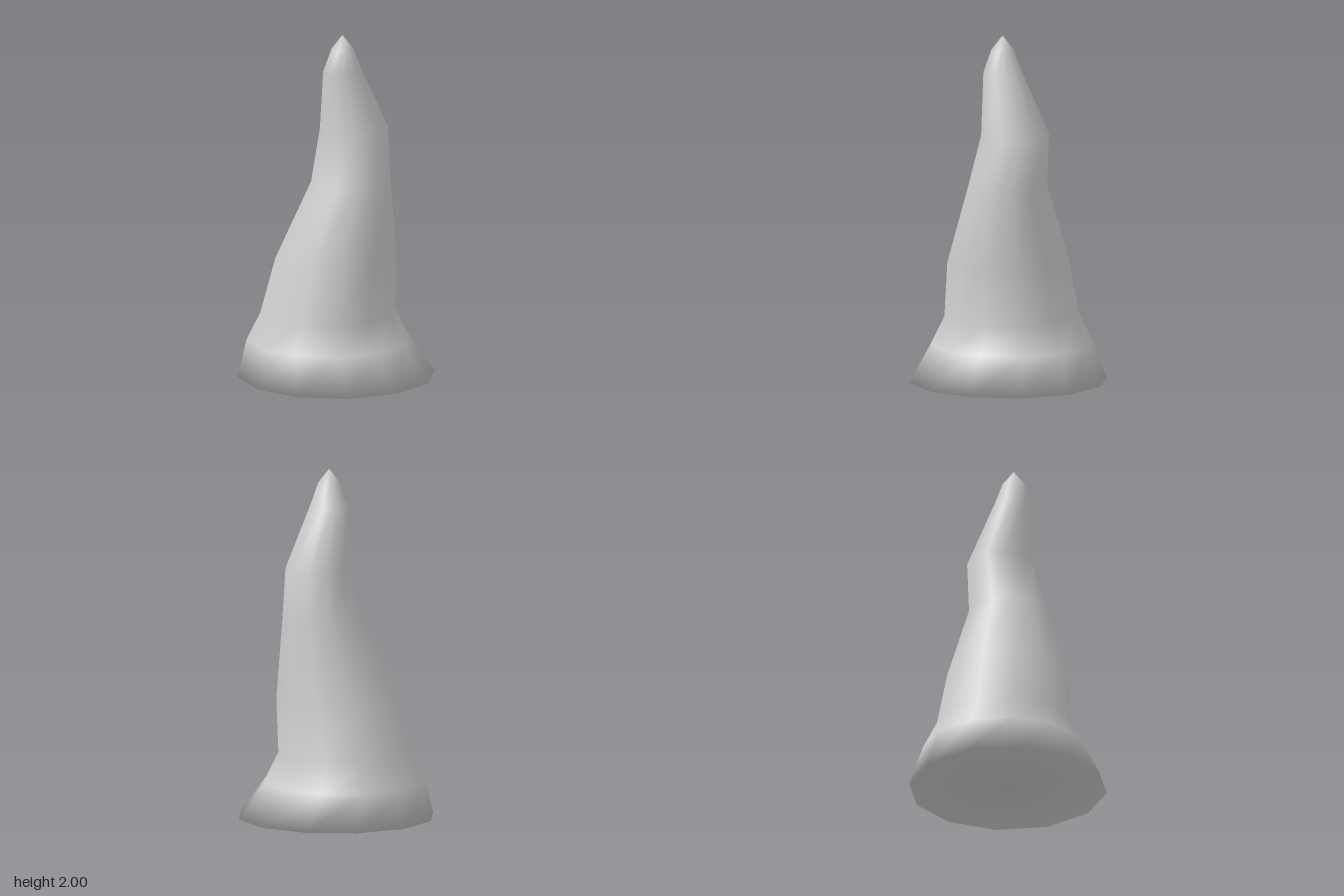
import * as THREE from 'three';

const SIDES = 12;

// Cross-sections from base to tip: [height, centre x, centre z, radius]
const RINGS = [
  [0, 0, 0, 0.565],
  [0.21, -0.045, 0.025, 0.465],
  [0.37, -0.045, 0.025, 0.385],
  [0.69, 0, 0, 0.348],
  [1.14, 0.053, -0.065, 0.227],
  [1.44, 0.03, -0.105, 0.195],
  [1.79, 0.047, -0.01, 0.11],
  [1.92, 0.048, -0.01, 0.063],
];
const TIP = [0.047, 2, -0.01];

// Skin the rings, closing the base and the tip with fans
function spireGeometry() {
  const positions = [];
  const index = [];
  for (const [y, cx, cz, r] of RINGS) {
    for (let i = 0; i < SIDES; i++) {
      const a = (i / SIDES) * Math.PI * 2;
      positions.push(cx + r * Math.sin(a), y, cz + r * Math.cos(a));
    }
  }
  const base = RINGS.length * SIDES;
  const tip = base + 1;
  positions.push(0, 0, 0, ...TIP);

  const last = RINGS.length - 1;
  for (let i = 0; i < SIDES; i++) {
    const j = (i + 1) % SIDES;
    for (let k = 0; k < last; k++) {
      const low = k * SIDES;
      const high = low + SIDES;
      index.push(low + i, low + j, high + j, low + i, high + j, high + i);
    }
    index.push(base, j, i);
    index.push(last * SIDES + i, last * SIDES + j, tip);
  }

  const geometry = new THREE.BufferGeometry();
  geometry.setAttribute('position', new THREE.Float32BufferAttribute(positions, 3));
  geometry.setIndex(index);
  geometry.computeVertexNormals();
  return geometry;
}

export function createModel() {
  const group = new THREE.Group();
  group.name = 'rockSpire';
  const spire = new THREE.Mesh(
    spireGeometry(),
    new THREE.MeshStandardMaterial({ color: 0xcccccc })
  );
  spire.name = 'spire';
  group.add(spire);
  return group;
}
